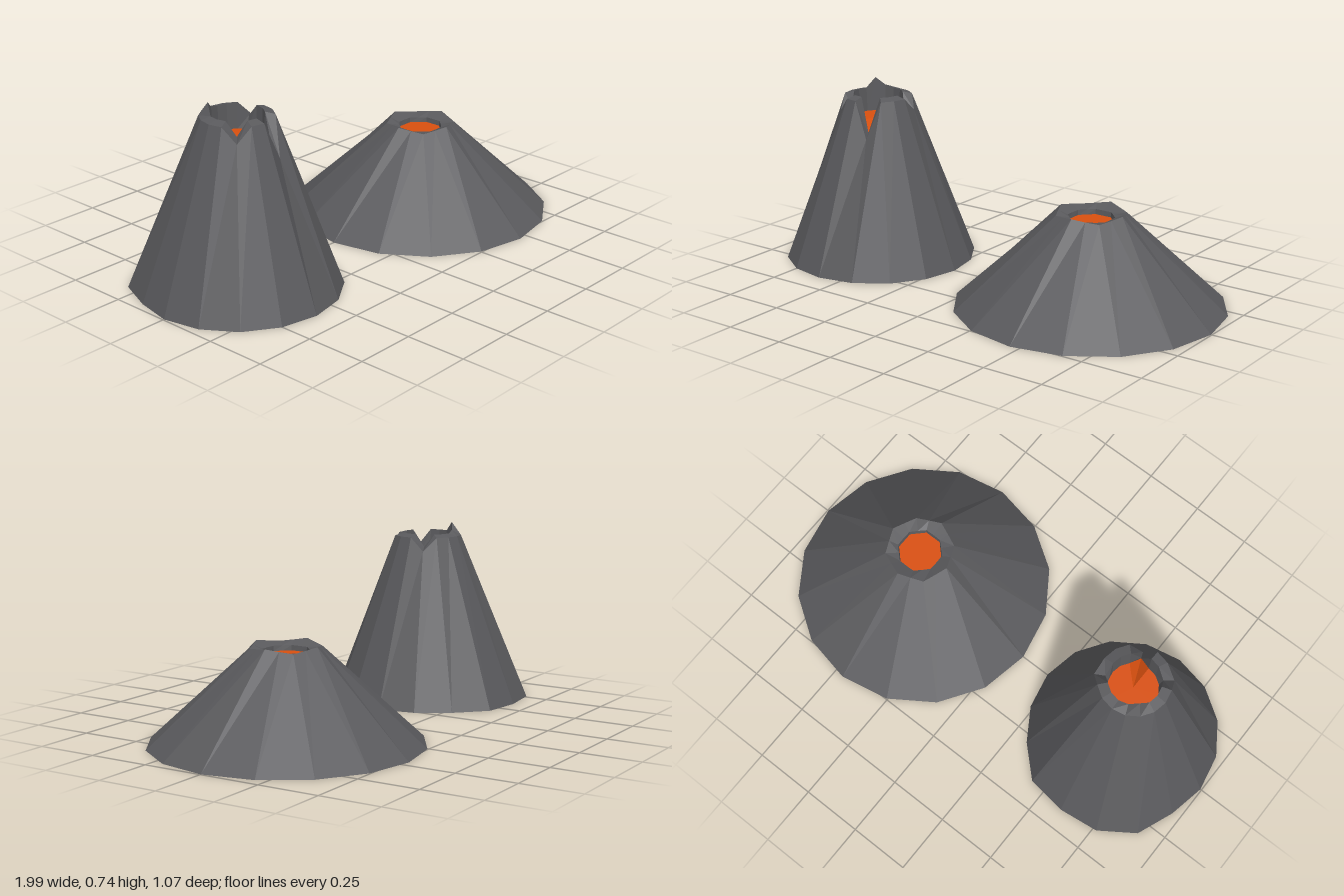
import * as THREE from 'three';

const SIDES = 16;
const at = (v, k) => (Array.isArray(v) ? v[k % v.length] : v);

// A ring of points; radius and height are a number or a repeating list by side.
// Side 0 faces +x, side 4 faces +z.
function ring(radius, height) {
  return Array.from({ length: SIDES }, (_, k) => {
    const a = (k / SIDES) * Math.PI * 2;
    const r = at(radius, k);
    return [Math.cos(a) * r, at(height, k), Math.sin(a) * r];
  });
}

// Flat-faced skin through successive rings.
function skin(name, rings, material) {
  const pos = [];
  for (let i = 0; i < rings.length - 1; i++) {
    for (let k = 0; k < SIDES; k++) {
      const n = (k + 1) % SIDES;
      const a = rings[i][k], b = rings[i + 1][k], c = rings[i + 1][n], d = rings[i][n];
      pos.push(...a, ...b, ...d, ...b, ...c, ...d);
    }
  }
  const geo = new THREE.BufferGeometry();
  geo.setAttribute('position', new THREE.Float32BufferAttribute(pos, 3));
  geo.computeVertexNormals();
  const mesh = new THREE.Mesh(geo, material);
  mesh.name = name;
  return mesh;
}

// Copy of a plain value with some sides changed.
function vary(value, changes) {
  const list = new Array(SIDES).fill(value);
  for (const k in changes) list[k] = changes[k];
  return list;
}

function volcano(name, x, { base, rim, lip, pool }, rock, lava) {
  const group = new THREE.Group();
  group.name = name;
  group.position.x = x;
  const poolRing = ring(...pool);
  // underside, slope, lip and crater wall
  group.add(skin('cone', [ring(0, 0), ring(base, 0), ring(...rim), ring(...lip), poolRing], rock));
  // molten surface
  group.add(skin('lavaPool', [poolRing, ring(0, Math.max(...[pool[1]].flat()))], lava));
  return group;
}

export function createModel() {
  const rock = new THREE.MeshStandardMaterial({ color: 0x5a5a5d });
  rock.name = 'rock';
  rock.flatShading = true;
  const lava = new THREE.MeshStandardMaterial({ color: 0xd9500f });
  lava.name = 'lava';
  lava.flatShading = true;

  const model = new THREE.Group();
  model.name = 'volcanoes';

  // Steep volcano: deep front breach, two smaller notches and a spike on the lip
  model.add(volcano('tallVolcano', -0.6, {
    base: vary(0.395, { 10: 0.43, 11: 0.432, 12: 0.42, 13: 0.43, 14: 0.4 }),
    rim: [vary(0.142, { 3: 0.168, 6: 0.155, 15: 0.155 }),
      vary(0.69, { 3: 0.54, 6: 0.63, 15: 0.635 })],
    lip: [vary(0.103, { 3: 0.14, 6: 0.112, 10: 0.106, 15: 0.112 }),
      vary(0.7, { 3: 0.555, 6: 0.645, 10: 0.74, 11: 0.71, 15: 0.65 })],
    pool: [vary(0.098, { 3: 0.135 }), vary(0.6, { 3: 0.56 })],
  }, rock, lava));

  // Broad volcano with an eight-cornered rim
  model.add(volcano('wideVolcano', 0.46, {
    base: 0.537,
    rim: [[0.14, 0.13], [0.385, 0.377, 0.37, 0.377]],
    lip: [[0.086, 0.092], 0.362],
    pool: [[0.083, 0.09], 0.342],
  }, rock, lava));

  return model;
}
